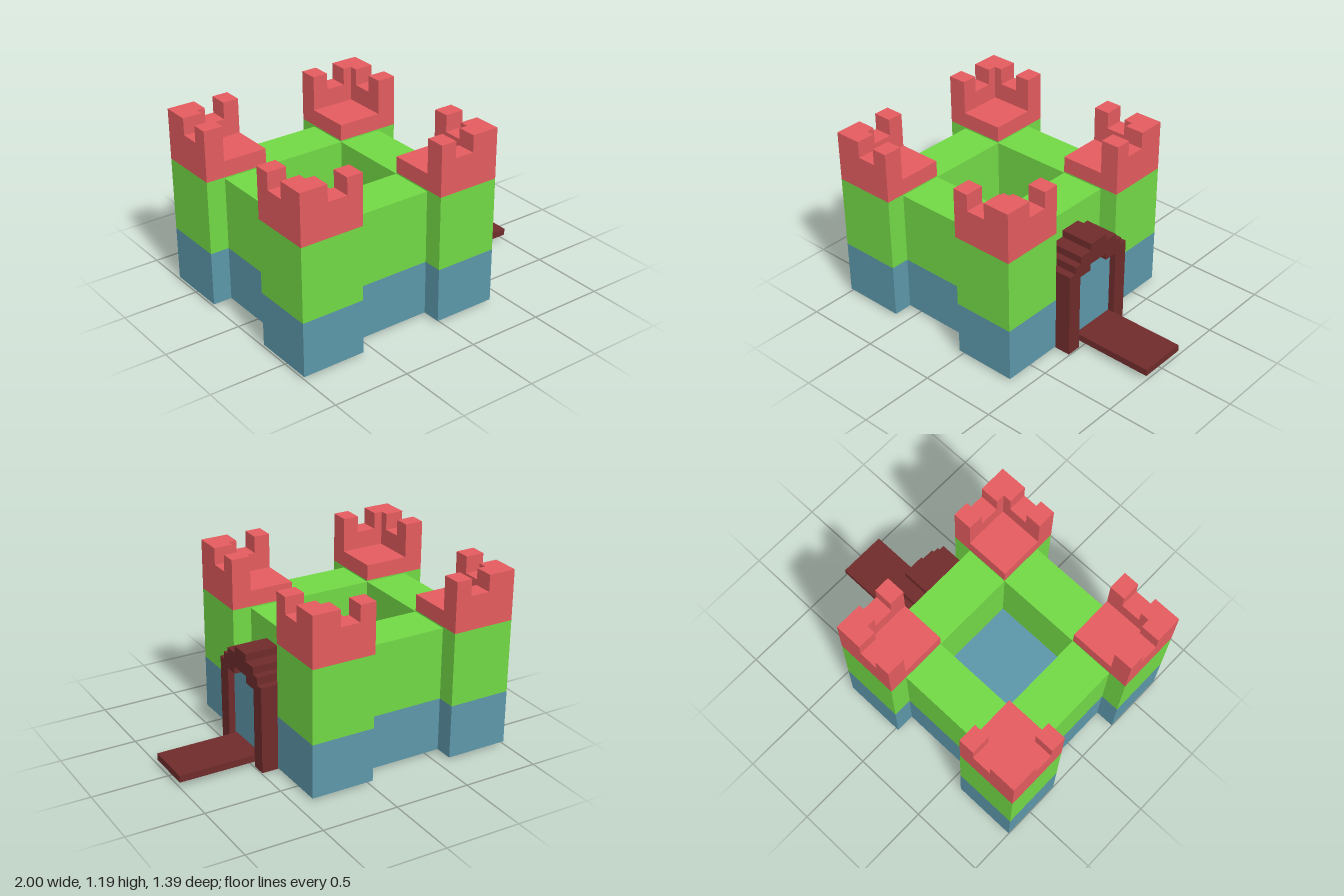
import * as THREE from 'three';

const mat = (name, color) => {
  const m = new THREE.MeshStandardMaterial({ color });
  m.name = name;
  return m;
};

export function createModel() {
  const red = mat('red', 0xe35b5e);
  const green = mat('green', 0x72d946);
  const blue = mat('blue', 0x5c97a9);
  const brown = mat('brown', 0x6f2b2b);

  const model = new THREE.Group();
  model.name = 'castle';
  const castle = new THREE.Group();
  castle.name = 'keep';
  castle.position.x = -0.303;
  model.add(castle);

  const add = (parent, name, geometry, material) => {
    const mesh = new THREE.Mesh(geometry, material);
    mesh.name = name;
    parent.add(mesh);
    return mesh;
  };
  // Box from its limits on each axis
  const box = (parent, name, material, x0, x1, y0, y1, z0, z1) => {
    const g = new THREE.BoxGeometry(Math.abs(x1 - x0), y1 - y0, Math.abs(z1 - z0));
    g.translate((x0 + x1) / 2, (y0 + y1) / 2, (z0 + z1) / 2);
    return add(parent, name, g, material);
  };
  const shapeOf = (pts) => new THREE.Shape(pts.map(([x, y]) => new THREE.Vector2(x, y)));

  const IN = 0.28, WALL = 0.572, OUT = 0.697;
  const BOTTOM = 0.018, SPLIT = 0.373, WALL_TOP = 0.846, BODY_TOP = 0.855;
  const FLOOR = 0.96, SILL = 1.077, TOP = 1.186;

  // Solid base: square with four projecting corner towers
  const corner = [[WALL, IN], [OUT, IN], [OUT, OUT], [IN, OUT], [IN, WALL]];
  const outline = [];
  for (let i = 0; i < 4; i++) {
    const c = [1, 0, -1, 0][i], s = [0, 1, 0, -1][i];
    corner.forEach(([x, y]) => outline.push([x * c - y * s, x * s + y * c]));
  }
  const base = new THREE.ExtrudeGeometry(shapeOf(outline), { depth: SPLIT - BOTTOM, bevelEnabled: false });
  base.rotateX(-Math.PI / 2).translate(0, BOTTOM, 0);
  add(castle, 'base', base, blue);

  // Curtain walls around the courtyard
  for (const s of [-1, 1]) {
    box(castle, 'endWall', green, -IN, IN, SPLIT, WALL_TOP, s * IN, s * WALL);
    box(castle, 'sideWall', green, s * IN, s * WALL, SPLIT, WALL_TOP, -IN, IN);
  }

  // Corner towers with battlements along their two outer sides
  for (const sx of [-1, 1]) for (const sz of [-1, 1]) {
    const tower = new THREE.Group();
    tower.name = 'tower';
    castle.add(tower);
    const part = (name, m, u0, u1, y0, y1, w0, w1) =>
      box(tower, name, m, sx * u0, sx * u1, y0, y1, sz * w0, sz * w1);
    part('towerBody', green, IN, OUT, SPLIT, BODY_TOP, IN, OUT);
    part('towerPlatform', red, IN, OUT, BODY_TOP, FLOOR, IN, OUT);
    part('parapet', red, WALL, OUT, FLOOR, SILL, IN, OUT);
    part('parapet', red, IN, WALL, FLOOR, SILL, WALL, OUT);
    part('cornerMerlon', red, 0.515, OUT, SILL, TOP, WALL, OUT);
    part('cornerMerlon', red, WALL, OUT, SILL, TOP, 0.515, WALL);
    part('endMerlon', red, IN, 0.385, SILL, TOP, WALL, OUT);
    part('endMerlon', red, WALL, OUT, SILL, TOP, IN, 0.385);
  }

  // Stepped gate: half profiles (half width, height) mirrored about the middle
  const mirrored = (half) => [...half, ...half.map(([x, y]) => [-x, y]).reverse()];
  const outer = mirrored([[0.265, 0], [0.265, 0.575], [0.215, 0.575], [0.215, 0.625],
    [0.165, 0.625], [0.165, 0.673], [0.072, 0.673], [0.072, 0.72]]);
  const inner = mirrored([[0.168, 0], [0.168, 0.53], [0.075, 0.53], [0.075, 0.577]]);
  const gate = new THREE.Group();
  gate.name = 'gate';
  gate.position.z = 0.005;
  model.add(gate);
  const slab = (name, pts, material, x0, x1) => {
    const g = new THREE.ExtrudeGeometry(shapeOf(pts), { depth: x1 - x0, bevelEnabled: false });
    g.rotateY(Math.PI / 2).translate(x0, 0, 0);
    add(gate, name, g, material);
  };
  slab('gateBlock', outer, brown, 0.25, 0.445);
  slab('gateArch', [...outer, ...inner.slice().reverse()], brown, 0.445, 0.493);
  slab('door', inner, blue, 0.445, 0.45);

  // Lowered bridge
  box(model, 'drawbridge', brown, 0.45, 1, 0.035, 0.08, -0.165, 0.155);

  return model;
}
